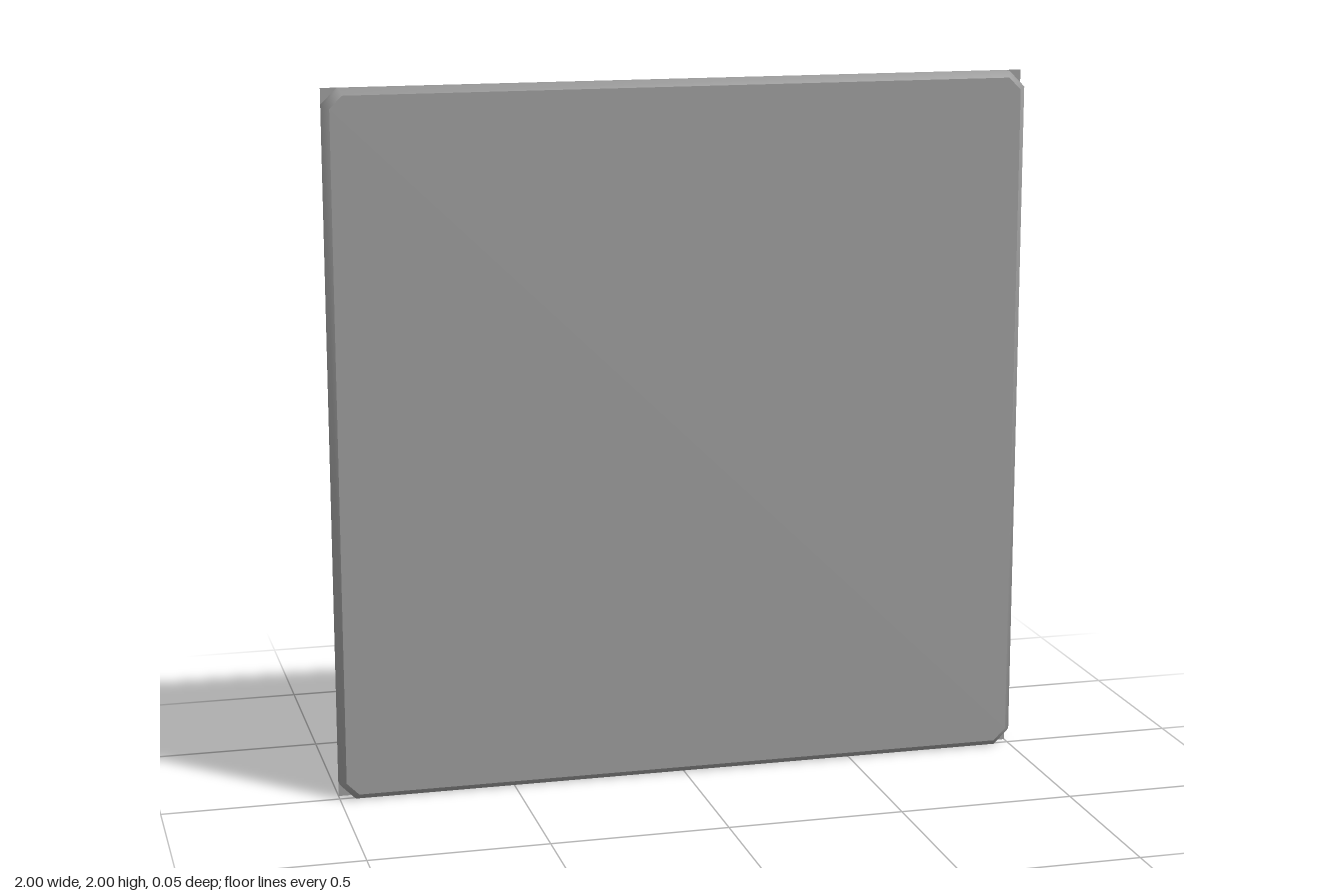
import * as THREE from 'three';

const material = new THREE.MeshStandardMaterial({ color: 0x9b9b9b, side: THREE.DoubleSide });
const BACK = -0.025;

function addMesh(group, name, positions, normals, index) {
  const geometry = new THREE.BufferGeometry();
  geometry.setAttribute('position', new THREE.Float32BufferAttribute(positions, 3));
  geometry.setAttribute('normal', new THREE.Float32BufferAttribute(normals, 3));
  geometry.setIndex(index);
  const mesh = new THREE.Mesh(geometry, material);
  mesh.name = name;
  group.add(mesh);
}

// Rectangle with cut corners, counter-clockwise seen from +z
function outline(w, h, y, inset, cut, z) {
  const a = w / 2 - inset, b = h / 2 - inset, c = cut - inset * 0.59;
  return [
    [a, -b + c], [a, b - c], [a - c, b], [-a + c, b],
    [-a, b - c], [-a, -b + c], [-a + c, -b], [a - c, -b],
  ].map(([px, py]) => [px, y + py, z]);
}

// Tray open to the back: bevelled side wall, flat front face, rear corner tabs
function createTray(name, w, h, base, depth, bevel, cut) {
  const group = new THREE.Group();
  group.name = name;
  const y = base + h / 2, front = BACK + depth;
  const rings = [
    outline(w, h, y, 0, cut, BACK),
    outline(w, h, y, 0, cut, front - bevel),
    outline(w, h, y, bevel, cut, front),
  ];

  // Side wall, smooth around the corners and over the bevel
  const normals = [], index = [];
  for (let r = 0; r < 3; r++) {
    const tilt = r * Math.PI / 8;
    for (let i = 0; i < 8; i++) {
      const angle = (i - 0.5) * Math.PI / 4;
      normals.push(Math.cos(angle) * Math.cos(tilt), Math.sin(angle) * Math.cos(tilt), Math.sin(tilt));
      if (r === 2) continue;
      const p = r * 8 + i, q = r * 8 + (i + 1) % 8;
      index.push(p, q, q + 8, p, q + 8, p + 8);
    }
  }
  addMesh(group, 'sideWall', rings.flat(2), normals, index);

  // Front face
  const fan = [];
  for (let i = 1; i < 7; i++) fan.push(0, i, i + 1);
  addMesh(group, 'frontFace', rings[2].flat(), rings[2].flatMap(() => [0, 0, 1]), fan);

  // Flat triangles squaring off the rear corners
  for (const sx of [-1, 1]) for (const sy of [-1, 1]) {
    const cx = sx * w / 2, cy = y + sy * h / 2;
    addMesh(group, 'cornerTab',
      [cx, cy, BACK, cx - sx * cut, cy, BACK, cx, cy - sy * cut, BACK],
      [0, 0, 1, 0, 0, 1, 0, 0, 1],
      sx * sy > 0 ? [0, 1, 2] : [0, 2, 1]);
  }
  return group;
}

export function createModel() {
  const group = new THREE.Group();
  group.name = 'wallPanel';
  // Outer shell, then ever smaller and shallower trays nested at its bottom edge:
  // name, width, height, base, depth, bevel, corner cut
  const trays = [
    ['outerShell', 2, 2, 0, 0.05, 0.017, 0.045],
    ['lowerHalfTray', 1.996, 0.998, 0.002, 0.049, 0.017, 0.04],
    ['wideTray', 1, 0.994, 0.004, 0.025, 0.009, 0.025],
    ['narrowTray', 0.5, 0.99, 0.006, 0.018, 0.007, 0.022],
    ['smallTray', 0.5, 0.492, 0.008, 0.014, 0.006, 0.02],
  ];
  for (const tray of trays) group.add(createTray(...tray));
  return group;
}
